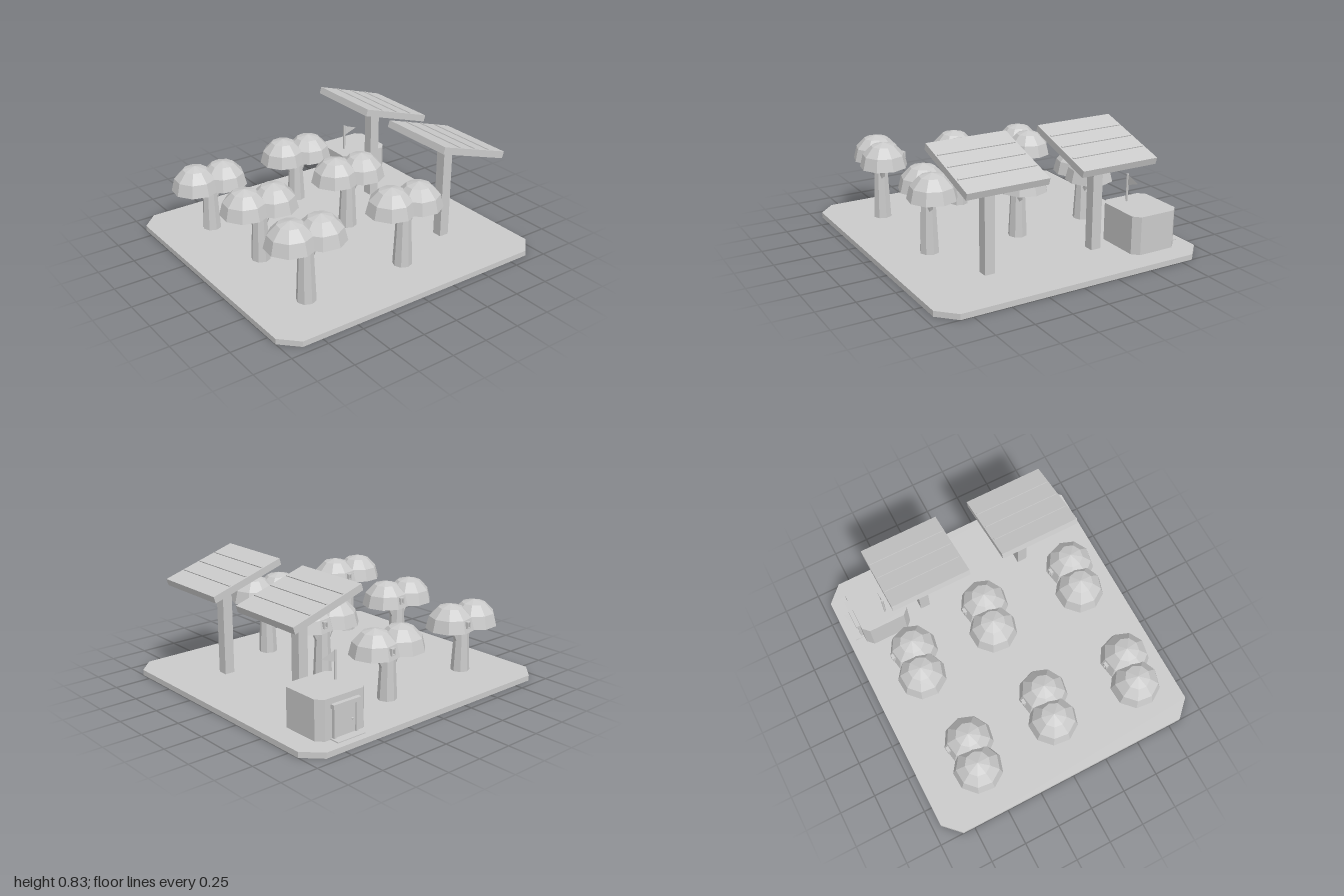
import * as THREE from 'three';

const BASE = 0.037; // top of the ground slab

export function createModel() {
  const model = new THREE.Group();
  // double-sided because the slab, domes and flag are open or thin
  const grey = new THREE.MeshStandardMaterial({ color: 0xcacaca, side: THREE.DoubleSide });
  grey.name = 'plain grey';

  const add = (parent, name, geometry, x = 0, y = 0, z = 0) => {
    // unshared vertices give every facet its own flat normal
    const flat = geometry.index ? geometry.toNonIndexed() : geometry;
    flat.computeVertexNormals();
    const mesh = new THREE.Mesh(flat, grey);
    mesh.name = name;
    mesh.position.set(x, y, z);
    parent.add(mesh);
    return mesh;
  };
  const group = (name, x, y, z) => {
    const g = new THREE.Group();
    g.name = name;
    g.position.set(x, y, z);
    model.add(g);
    return g;
  };
  const box = (w, h, d) => new THREE.BoxGeometry(w, h, d);
  const vec2 = (list) => list.map(([x, y]) => new THREE.Vector2(x, y));

  // corners of a rectangle with chamfered corners, anticlockwise
  const chamferCorners = (w, d, c) => {
    const a = w / 2, b = d / 2;
    return vec2([
      [-a + c, -b], [a - c, -b], [a, -b + c], [a, b - c],
      [a - c, b], [-a + c, b], [-a, b - c], [-a, -b + c],
    ]);
  };

  // rod between two points
  const rod = (from, to, r0, r1, sides) => {
    const dir = to.clone().sub(from);
    const g = new THREE.CylinderGeometry(r1, r0, dir.length(), sides);
    g.applyQuaternion(new THREE.Quaternion().setFromUnitVectors(
      new THREE.Vector3(0, 1, 0), dir.clone().normalize()));
    const mid = from.clone().add(to).multiplyScalar(0.5);
    return g.translate(mid.x, mid.y, mid.z);
  };

  // ground: flat top with a skirt, open underneath
  const ground = chamferCorners(2, 1.89, 0.113);
  add(model, 'groundTop',
    new THREE.ShapeGeometry(new THREE.Shape(ground)).rotateX(-Math.PI / 2), 0, BASE, 0);
  const skirt = [];
  ground.forEach((p, i) => {
    const q = ground[(i + 1) % ground.length];
    skirt.push(p.x, 0, -p.y, q.x, 0, -q.y, q.x, BASE, -q.y);
    skirt.push(p.x, 0, -p.y, q.x, BASE, -q.y, p.x, BASE, -p.y);
  });
  add(model, 'groundSkirt', new THREE.BufferGeometry()
    .setAttribute('position', new THREE.Float32BufferAttribute(skirt, 3)));

  // small window frame with an opening
  const frameShape = new THREE.Shape(vec2([
    [-0.017, -0.023], [0.017, -0.023], [0.017, 0.023], [-0.017, 0.023]]));
  frameShape.holes.push(new THREE.Path(vec2([
    [-0.009, -0.015], [-0.009, 0.015], [0.009, 0.015], [0.009, -0.015]])));

  // trees with two hollow faceted domes on a forked trunk
  const R = 0.163, SIDES = 9;
  const addTree = (x, z, rim) => {
    const tree = group('tree', x, 0, z);
    const top = rim + 0.02;
    add(tree, 'trunk', new THREE.CylinderGeometry(0.046, 0.064, top - BASE, 8),
      0, (top + BASE) / 2, 0);
    for (const side of [-1, 1]) {
      const cx = side * 0.097, cz = side < 0 ? -0.013 : 0.018;
      add(tree, 'domeCrown',
        new THREE.SphereGeometry(R, SIDES, 3, 0, Math.PI * 2, 0, Math.PI / 2)
          .scale(1, 0.17 / R, 1).rotateY(side < 0 ? 0.24 : Math.PI), cx, rim, cz);
      add(tree, 'branch', rod(
        new THREE.Vector3(side * 0.025, rim - 0.11, side * 0.004),
        new THREE.Vector3(side * 0.1, rim + 0.05, side * 0.016), 0.02, 0.02, 6));
    }
    // window on the rear of the +x dome
    const window = add(tree, 'windowFrame',
      new THREE.ExtrudeGeometry(frameShape, { depth: 0.02, bevelEnabled: false }),
      0.087, rim + 0.055, -0.142);
    window.rotation.y = 0.1;
  };
  [
    [-0.63, -0.562, 0.348], [-0.585, 0.007, 0.39], [-0.625, 0.592, 0.432],
    [0.097, -0.605, 0.348], [0.153, -0.046, 0.39], [0.122, 0.592, 0.432],
  ].forEach((t) => addTree(...t));

  // tilted panels on square posts
  for (const z of [-0.35, 0.432]) {
    const stand = group('panelStand', 0.591, 0, z);
    add(stand, 'post', box(0.07, 0.69, 0.07), 0, BASE + 0.345, 0);
    const panel = new THREE.Group();
    panel.name = 'panel';
    panel.position.y = 0.733;
    panel.rotation.z = -0.3;
    stand.add(panel);
    add(panel, 'panelBoard', box(0.54, 0.046, 0.548));
    for (const x of [-0.13, 0, 0.13]) {
      add(panel, 'panelStrip', box(0.011, 0.008, 0.525), x, 0.025, 0);
    }
  }

  // hut with its door facing the rear
  const hut = group('hut', 0.657, 0, -0.664);
  add(hut, 'hutWalls', new THREE.ExtrudeGeometry(
    new THREE.Shape(chamferCorners(0.378, 0.34, 0.043)),
    { depth: 0.293 - BASE, bevelEnabled: false }).rotateX(-Math.PI / 2), 0, BASE, 0);
  add(hut, 'door', box(0.15, 0.185, 0.012), 0, 0.13, -0.173);
  for (const side of [-1, 1]) {
    add(hut, 'doorJamb', box(0.018, 0.195, 0.024), side * 0.084, 0.135, -0.176);
  }
  add(hut, 'doorLintel', box(0.21, 0.026, 0.034), 0, 0.243, -0.181);
  add(hut, 'doorKnob', new THREE.SphereGeometry(0.008, 6, 4), -0.05, 0.13, -0.182);
  add(hut, 'doorstep', box(0.21, 0.04, 0.07), 0, 0.023, -0.2);

  // flag on the hut roof
  add(hut, 'flagpole', new THREE.CylinderGeometry(0.008, 0.008, 0.19, 6), -0.101, 0.385, 0.027);
  add(hut, 'flag', new THREE.ShapeGeometry(
    new THREE.Shape(vec2([[0, -0.038], [0.107, 0], [0, 0.038]]))), -0.101, 0.441, 0.027);

  return model;
}
